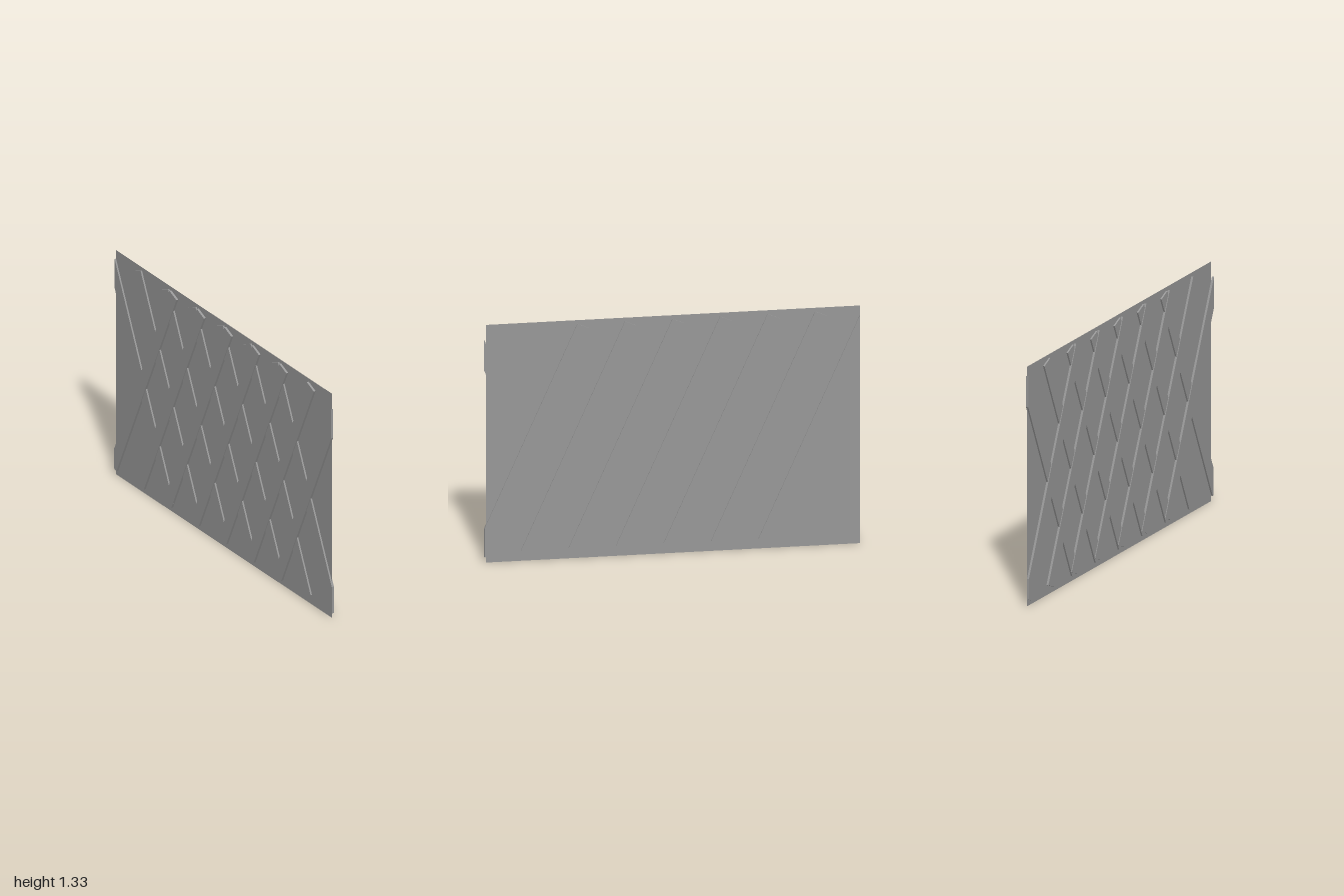
import * as THREE from 'three';

const grey = new THREE.MeshStandardMaterial({ color: 0x999999, side: THREE.DoubleSide });
grey.name = 'grey';

// keep the part of a polygon where sign * x <= limit
function clip(points, sign, limit) {
  const out = [];
  points.forEach((a, i) => {
    const b = points[(i + 1) % points.length];
    const da = limit - sign * a.x, db = limit - sign * b.x;
    if (da >= 0) out.push(a);
    if (da * db < 0) out.push(a.clone().lerp(b, da / (da - db)));
  });
  return out;
}

// tilted slat in the z-y plane, trimmed at the panel ends, from x0 to x1
function slat(name, z, tilt, x0, x1) {
  const w = 0.035, h = 0.685;
  const centre = new THREE.Vector2(0, 0);
  let pts = [[-w, -h], [w, -h], [w, h], [-w, h]].map(([a, b]) =>
    new THREE.Vector2(a, b).rotateAround(centre, tilt).add(new THREE.Vector2(-z, 0.67)));
  pts = clip(clip(pts, 1, 1), -1, 1);
  const geo = new THREE.ExtrudeGeometry(new THREE.Shape(pts), { depth: x1 - x0, bevelEnabled: false });
  geo.rotateY(Math.PI / 2); // shape x becomes -z, depth becomes x
  geo.translate(x0, 0, 0);
  const mesh = new THREE.Mesh(geo, grey);
  mesh.name = name;
  return mesh;
}

export function createModel() {
  const model = new THREE.Group();
  model.name = 'latticePanel';

  // thin backing sheet
  const sheet = new THREE.Mesh(new THREE.PlaneGeometry(1.99, 1.33), grey);
  sheet.name = 'backingSheet';
  sheet.rotation.y = Math.PI / 2;
  sheet.position.set(0.003, 0.665, -0.005);
  model.add(sheet);

  // two crossing layers of seven diagonal slats
  const tilt = 0.416, pitch = 0.253;
  for (let i = -3; i <= 3; i++) {
    model.add(slat('innerSlat', -0.01 + i * pitch, -tilt, -0.006, 0.008));
    model.add(slat('outerSlat', 0.025 + i * pitch, tilt, -0.01, 0.002));
  }
  return model;
}
